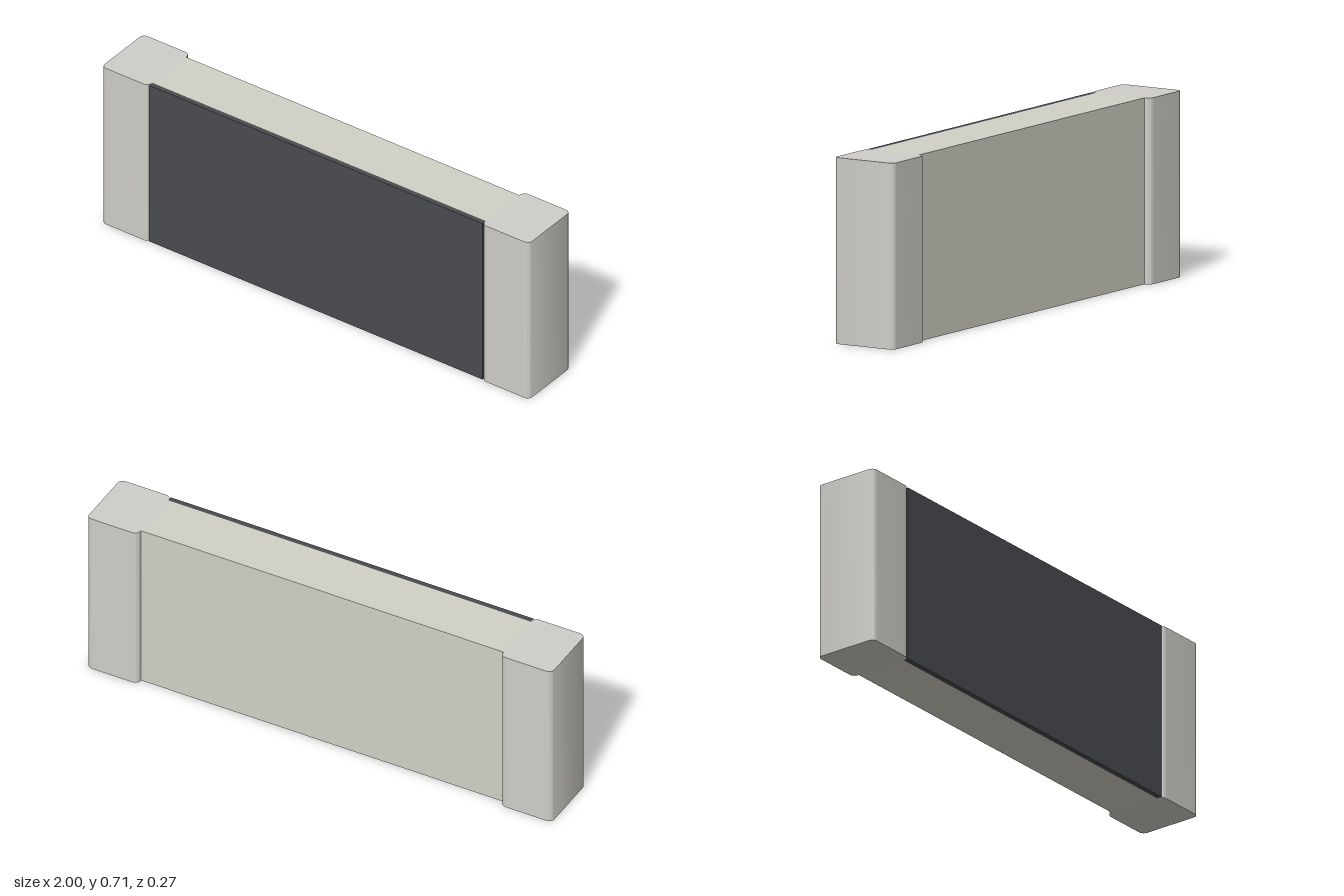
import * as THREE from 'three';
import { toCreasedNormals } from 'three/addons/utils/BufferGeometryUtils.js';

const HEIGHT = 0.713;
const INNER = 0.78; // where the end caps begin
const BODY_Z = 0.107; // half thickness of the body
const CAP_Z = 0.133; // half thickness of the caps

function material(color) {
  return new THREE.MeshStandardMaterial({ color });
}

// Upright bar whose plan is a rounded rectangle
function capGeometry(width, depth, r) {
  const x = width / 2;
  const z = depth / 2;
  const plan = new THREE.Shape();
  plan.moveTo(x - r, -z);
  plan.absarc(x - r, -z + r, r, -Math.PI / 2, 0);
  plan.absarc(x - r, z - r, r, 0, Math.PI / 2);
  plan.absarc(-x + r, z - r, r, Math.PI / 2, Math.PI);
  plan.absarc(-x + r, -z + r, r, Math.PI, Math.PI * 1.5);
  const geometry = new THREE.ExtrudeGeometry(plan, { depth: HEIGHT, bevelEnabled: false, curveSegments: 8 });
  geometry.rotateX(-Math.PI / 2);
  return toCreasedNormals(geometry, 0.6);
}

export function createModel() {
  const group = new THREE.Group();

  function add(name, geometry, mat, x, y, z) {
    const mesh = new THREE.Mesh(geometry, mat);
    mesh.name = name;
    mesh.position.set(x, y, z);
    group.add(mesh);
  }

  // Ceramic body between the caps
  add('body', new THREE.BoxGeometry(INNER * 2, HEIGHT, BODY_Z * 2), material(0xd2d1c6), 0, HEIGHT / 2, 0);

  // Dark coating on the front
  const coat = 0.021;
  add('frontCoating', new THREE.BoxGeometry(INNER * 2, HEIGHT, coat), material(0x4a4b4f), 0, HEIGHT / 2, BODY_Z + coat / 2);

  // Thicker end caps with rounded upright edges
  const cap = capGeometry(1 - INNER, CAP_Z * 2, 0.022);
  const capMaterial = material(0xcfcec9);
  for (const side of [1, -1]) {
    add(side > 0 ? 'leftEndCap' : 'rightEndCap', cap, capMaterial, side * (1 + INNER) / 2, 0, 0);
  }

  return group;
}
